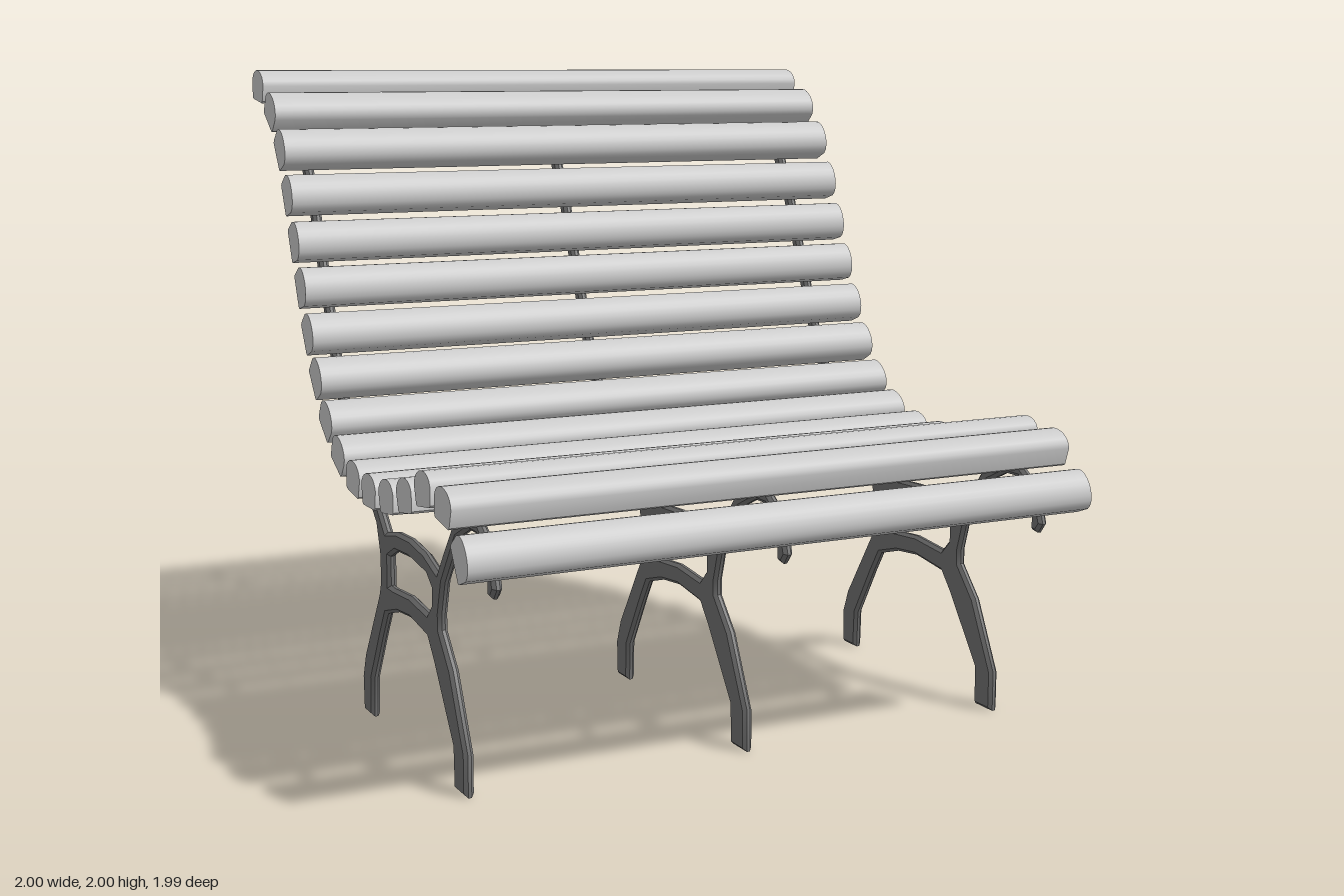
import * as THREE from 'three';
import { toCreasedNormals } from 'three/addons/utils/BufferGeometryUtils.js';

// Side profiles are drawn in (z, y) and extruded across the width, centred on x = 0.
function extrudeAcross(shape, width, bevel = 0) {
  const depth = width - 2 * bevel;
  const geometry = new THREE.ExtrudeGeometry(shape, {
    depth, curveSegments: 10, bevelEnabled: bevel > 0, bevelSegments: 1,
    bevelThickness: bevel, bevelSize: bevel, bevelOffset: -bevel,
  });
  geometry.translate(0, 0, -depth / 2);
  geometry.rotateY(-Math.PI / 2);
  return toCreasedNormals(geometry, 0.6);
}

const toPoints = (pairs) => pairs.map(([z, y]) => new THREE.Vector2(z, y));

// Cast frame: one outline, followed clockwise from the front foot
function frameGeometry() {
  const frontLegOuter = [[0.69, 0], [0.69, 0.125], [0.585, 0.34], [0.5, 0.435], [0.5, 0.48], [0.53, 0.58]];
  const scrollUnder = [[0.645, 0.735], [0.73, 0.775], [0.8, 0.775], [0.85, 0.725], [0.868, 0.68], [0.868, 0.625]];
  const scrollOver = [[0.897, 0.62], [0.92, 0.65], [0.9, 0.71], [0.86, 0.775], [0.79, 0.82], [0.715, 0.82], [0.625, 0.78], [0.53, 0.66]];
  const seatBar = [[0.485, 0.6], [0.38, 0.635], [0.26, 0.65], [0.14, 0.645], [0.045, 0.625]];
  const backFront = [[-0.02, 0.69], [-0.155, 0.8], [-0.3, 0.92], [-0.38, 1.01], [-0.437, 1.14], [-0.61, 1.555], [-0.715, 1.76], [-0.78, 1.84]];
  const topHook = [[-0.86, 1.89], [-0.92, 1.88], [-0.98, 1.835], [-0.995, 1.78], [-0.967, 1.76], [-0.945, 1.79], [-0.913, 1.84], [-0.87, 1.845]];
  const backRear = [[-0.8, 1.8], [-0.753, 1.73], [-0.65, 1.54], [-0.48, 1.13], [-0.437, 1.015], [-0.34, 0.89], [-0.19, 0.77], [-0.04, 0.635]];
  const rearLegOuter = [[-0.01, 0.545], [-0.01, 0.46], [-0.025, 0.42], [-0.17, 0.195], [-0.2, 0.115], [-0.195, 0]];
  const legArch = [[-0.115, 0], [-0.11, 0.125], [-0.015, 0.29], [0.035, 0.37], [0.14, 0.4], [0.25, 0.41], [0.4, 0.39], [0.45, 0.33], [0.595, 0.125], [0.6, 0]];
  const opening = [[0.44, 0.545], [0.4, 0.575], [0.25, 0.592], [0.13, 0.585], [0.067, 0.555], [0.067, 0.465], [0.11, 0.465], [0.25, 0.475], [0.4, 0.46], [0.44, 0.5]];

  const shape = new THREE.Shape(toPoints([
    ...frontLegOuter, ...scrollUnder, ...scrollOver, ...seatBar, ...backFront,
    ...topHook, ...backRear, ...rearLegOuter, ...legArch,
  ]));
  shape.holes.push(new THREE.Path(toPoints(opening)));
  return extrudeAcross(shape, 0.03, 0.01);
}

// Wooden slat: flat underside, flared sides and a domed top
function slatGeometry() {
  const shape = new THREE.Shape();
  shape.moveTo(-0.05, -0.05);
  shape.lineTo(0.05, -0.05);
  shape.lineTo(0.056, -0.044);
  shape.lineTo(0.064, 0.008);
  shape.bezierCurveTo(0.055, 0.064, -0.055, 0.064, -0.064, 0.008);
  shape.lineTo(-0.056, -0.044);
  shape.closePath();
  return extrudeAcross(shape, 2);
}

// Slat centres and forward tilt: z, y, degrees
const seatSlats = [
  [0.94, 0.75, 60], [0.815, 0.868, 9], [0.66, 0.885, -8], [0.51, 0.838, -9],
  [0.355, 0.805, -7], [0.2, 0.793, -1], [0.055, 0.805, 8],
];
const backSlats = [
  [-0.085, 0.853, 27], [-0.2, 0.94, 38], [-0.292, 1.058, 52], [-0.367, 1.187, 60],
  [-0.43, 1.325, 67], [-0.49, 1.465, 67], [-0.55, 1.61, 65], [-0.62, 1.753, 57],
  [-0.722, 1.873, 36], [-0.86, 1.95, 8],
];

export function createModel() {
  const bench = new THREE.Group();
  bench.name = 'bench';
  const wood = new THREE.MeshStandardMaterial({ color: 0xcccccc });
  const iron = new THREE.MeshStandardMaterial({ color: 0x707070 });

  // Three matching frames
  const frame = frameGeometry();
  [['rightFrame', -0.885], ['middleFrame', 0], ['leftFrame', 0.885]].forEach(([name, x]) => {
    const mesh = new THREE.Mesh(frame, iron);
    mesh.name = name;
    mesh.position.x = x;
    bench.add(mesh);
  });

  // Seat and backrest slats
  const slat = slatGeometry();
  [['seat', seatSlats], ['backrest', backSlats]].forEach(([name, rows]) => {
    const group = new THREE.Group();
    group.name = name;
    rows.forEach(([z, y, tilt], i) => {
      const mesh = new THREE.Mesh(slat, wood);
      mesh.name = `${name}Slat${i + 1}`;
      mesh.position.set(0, y, z);
      mesh.rotation.x = THREE.MathUtils.degToRad(tilt);
      group.add(mesh);
    });
    bench.add(group);
  });

  return bench;
}
